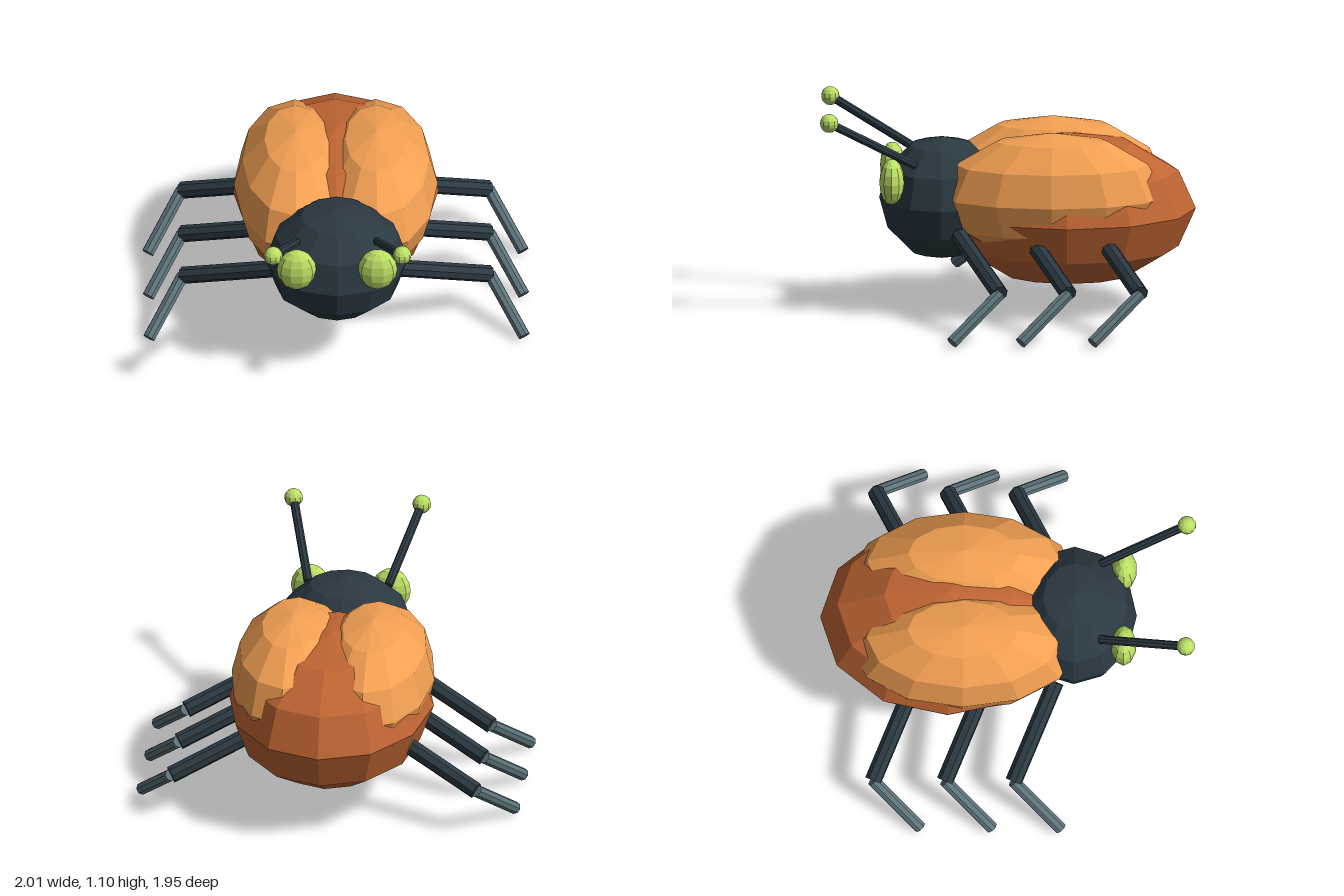
import * as THREE from 'three';

const paint = (color) => new THREE.MeshStandardMaterial({ color, flatShading: true, roughness: 0.8 });
const mats = {
  body: paint(0xbf6533),
  wing: paint(0xf29f52),
  dark: paint(0x2b3942),
  shin: paint(0x5d747a),
  lime: paint(0xbbe065),
};

// Faceted ellipsoid from centre and radii
function ellipsoid(name, mat, center, radii, cols = 12, rows = 6) {
  const geo = new THREE.SphereGeometry(1, cols, rows);
  geo.scale(...radii);
  const mesh = new THREE.Mesh(geo, mat);
  mesh.name = name;
  mesh.position.set(...center);
  return mesh;
}

// Straight rod between two points
function rod(name, mat, from, to, radius, sides = 8) {
  const a = new THREE.Vector3(...from);
  const b = new THREE.Vector3(...to);
  const dir = b.clone().sub(a);
  const mesh = new THREE.Mesh(new THREE.CylinderGeometry(radius, radius, dir.length(), sides), mat);
  mesh.name = name;
  mesh.position.copy(a).add(b).multiplyScalar(0.5);
  mesh.quaternion.setFromUnitVectors(new THREE.Vector3(0, 1, 0), dir.normalize());
  return mesh;
}

export function createModel() {
  const beetle = new THREE.Group();
  beetle.name = 'beetle';

  // Abdomen and head
  beetle.add(ellipsoid('abdomen', mats.body, [0, 0.53, -0.31], [0.535, 0.4, 0.665]));
  beetle.add(ellipsoid('head', mats.dark, [0, 0.586, 0.345], [0.37, 0.324, 0.325]));

  for (const [side, s] of [['left', 1], ['right', -1]]) {
    // Wing cover, sunk into the abdomen
    beetle.add(ellipsoid(side + 'WingCover', mats.wing, [s * 0.21, 0.637, -0.23], [0.32, 0.338, 0.58]));

    // Eye
    beetle.add(ellipsoid(side + 'Eye', mats.lime, [s * 0.21, 0.712, 0.603], [0.103, 0.12, 0.067], 10, 8));

    // Antenna with a ball tip
    const antenna = new THREE.Group();
    antenna.name = side + 'Antenna';
    const tip = [s * 0.335, 1.05, 0.927];
    antenna.add(rod('antennaStalk', mats.dark, [s * 0.21, 0.8, 0.482], tip, 0.023));
    antenna.add(ellipsoid('antennaTip', mats.lime, tip, [0.049, 0.049, 0.049], 10, 8));
    beetle.add(antenna);

    // Three identical legs along the body
    [['Front', 0], ['Middle', -0.357], ['Back', -0.73]].forEach(([place, dz]) => {
      const leg = new THREE.Group();
      leg.name = side + place + 'Leg';
      leg.position.z = dz;
      const knee = [s * 0.797, 0.247, 0.037];
      leg.add(rod('thigh', mats.dark, [s * 0.32, 0.45, 0.25], knee, 0.045));
      leg.add(rod('shin', mats.shin, knee, [s * 0.975, 0.026, 0.283], 0.033));
      beetle.add(leg);
    });
  }
  return beetle;
}
